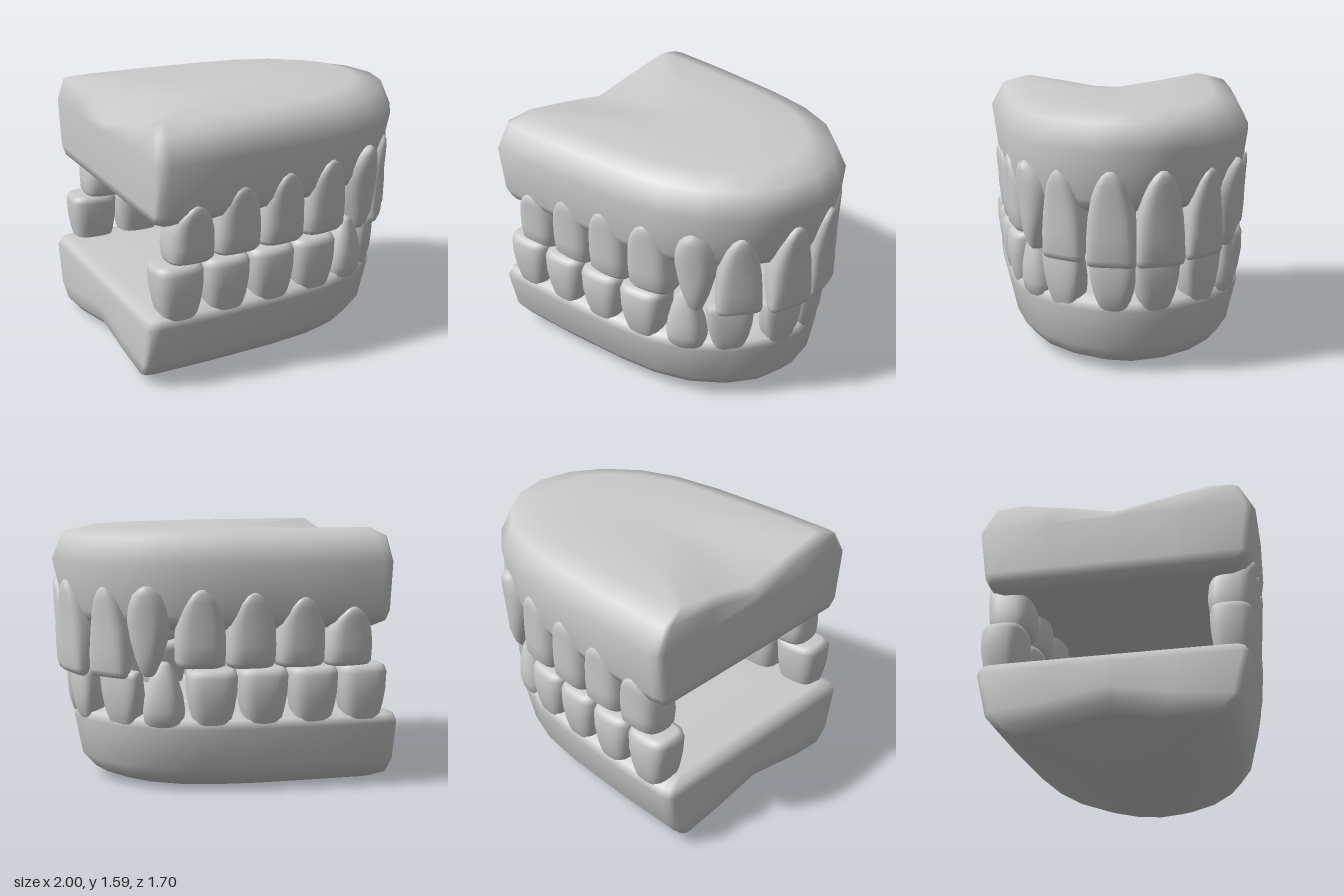
import * as THREE from 'three';

const material = new THREE.MeshStandardMaterial({ color: 0xcccccc });

// Closed skin over rings listed bottom to top, each counter-clockwise from above
function loft(rings, name) {
  const n = rings[0].length, pos = [], index = [];
  const last = (rings.length - 1) * n;
  rings.forEach(r => r.forEach(p => pos.push(...p)));
  for (let k = 0; k < rings.length - 1; k++) {
    for (let i = 0; i < n; i++) {
      const a = k * n + i, b = k * n + (i + 1) % n;
      index.push(a, b, b + n, a, b + n, a + n);
    }
  }
  // Caps fan around the middle of the end rings
  const middle = r => [0, 1, 2].map(j => r.reduce((s, p) => s + p[j], 0) / n);
  const bottom = rings.length * n, top = bottom + 1;
  pos.push(...middle(rings[0]), ...middle(rings[rings.length - 1]));
  for (let i = 0; i < n; i++) {
    const j = (i + 1) % n;
    index.push(j, i, bottom, last + i, last + j, top);
  }
  const geo = new THREE.BufferGeometry();
  geo.setAttribute('position', new THREE.Float32BufferAttribute(pos, 3));
  geo.setIndex(index);
  geo.computeVertexNormals();
  const mesh = new THREE.Mesh(geo, material);
  mesh.name = name;
  return mesh;
}

// Half of the arch outline: [length from back to front, half width], both 0..1
const ARCH = [[0.975, 0.28], [0.907, 0.53], [0.8, 0.74], [0.67, 0.865], [0.51, 0.93],
  [0.25, 0.98], [0.04, 1], [0.012, 0.985], [0, 0.94], [0, 0.5]];
const OUTLINE = [[1, 0], ...ARCH.map(([u, w]) => [u, -w]), [0, 0], ...[...ARCH].reverse()];

// Gum block from levels [y, half width, back x, front x]; dip(y) hollows the middle towards the back
function gum(levels, dip, name) {
  return loft(levels.map(([y, w, back, front]) => OUTLINE.map(([u, v]) => {
    const x = back + u * (front - back), z = v * w;
    const d = Math.max(0, 1 - Math.abs(z) / 0.55) * THREE.MathUtils.clamp((-0.3 - x) / 0.55, 0, 1);
    return [x, y + dip(y) * d, z];
  })), name);
}

// Tooth profiles from bite edge to root: [t, width factor, outer face, inner face]
const PROFILES = {
  upperMolar: [[0, 0.74, -0.06, -0.21], [0.02, 0.89, -0.03, -0.24], [0.09, 0.98, 0, -0.26],
    [0.3, 1, 0.01, -0.27], [0.55, 0.96, 0.015, -0.26], [0.72, 0.84, 0.02, -0.23],
    [0.85, 0.64, 0.025, -0.2], [0.95, 0.38, 0.025, -0.17], [1, 0.14, 0.01, -0.13]],
  upperCanine: [[0, 0.2, -0.06, -0.12], [0.04, 0.36, -0.04, -0.14], [0.2, 0.62, -0.01, -0.18],
    [0.4, 0.86, 0, -0.2], [0.6, 1, 0.01, -0.21], [0.76, 0.94, 0.02, -0.2],
    [0.9, 0.7, 0.025, -0.18], [0.97, 0.4, 0.02, -0.16], [1, 0.14, 0, -0.12]],
  upperIncisor: [[0, 0.84, -0.04, -0.08], [0.02, 0.95, -0.015, -0.1], [0.08, 1, 0, -0.12],
    [0.3, 0.99, 0.01, -0.16], [0.52, 0.93, 0.012, -0.18], [0.72, 0.78, 0.02, -0.18],
    [0.86, 0.59, 0.025, -0.17], [0.95, 0.37, 0.025, -0.15], [1, 0.14, 0.01, -0.12]],
  lowerMolar: [[0, 0.78, -0.05, -0.23], [0.03, 0.93, -0.02, -0.26], [0.12, 1, 0, -0.27],
    [0.4, 0.96, 0, -0.265], [0.65, 0.86, -0.015, -0.25], [0.86, 0.72, -0.035, -0.23],
    [1, 0.58, -0.065, -0.2]],
  lowerCanine: [[0, 0.2, -0.06, -0.11], [0.05, 0.4, -0.04, -0.13], [0.25, 0.68, -0.015, -0.17],
    [0.5, 0.9, 0, -0.2], [0.72, 1, 0, -0.21], [0.88, 0.94, -0.015, -0.2], [1, 0.7, -0.055, -0.17]],
  lowerIncisor: [[0, 0.87, -0.03, -0.09], [0.03, 0.96, -0.01, -0.11], [0.12, 1, 0, -0.13],
    [0.4, 0.96, -0.005, -0.16], [0.65, 0.84, -0.013, -0.18], [0.88, 0.65, -0.035, -0.18],
    [1, 0.45, -0.06, -0.16]],
};

// Rounded-square sections stacked along the profile
function tooth(type, halfWidth, bite, root) {
  const sides = 24, power = type.includes('Canine') ? 0.85 : 0.65;
  const bend = v => Math.sign(v) * Math.pow(Math.abs(v), power);
  const rings = PROFILES[type].map(([t, w, out, inner]) => Array.from({ length: sides }, (_, i) => {
    const a = i / sides * Math.PI * 2;
    return [bend(Math.cos(a)) * w * halfWidth, bite + t * (root - bite),
      (out + inner) / 2 - bend(Math.sin(a)) * (out - inner) / 2];
  }));
  return loft(root < bite ? rings.reverse() : rings, type);
}

// One side of each row: [type, x and z of outer face, facing angle, half width, bite y, root y]
const TEETH = [
  ['upperMolar', -0.69, 0.8, 0.04, 0.147, 0.755, 1.125],
  ['upperMolar', -0.385, 0.788, 0.05, 0.152, 0.76, 1.195],
  ['upperMolar', -0.075, 0.768, 0.1, 0.152, 0.76, 1.225],
  ['upperMolar', 0.24, 0.73, 0.2, 0.155, 0.765, 1.245],
  ['upperCanine', 0.56, 0.652, 0.45, 0.13, 0.72, 1.265],
  ['upperIncisor', 0.772, 0.45, 0.92, 0.142, 0.7, 1.25],
  ['upperIncisor', 0.945, 0.155, 1.34, 0.152, 0.69, 1.27],
  ['lowerMolar', -0.775, 0.822, 0.04, 0.155, 0.765, 0.38],
  ['lowerMolar', -0.465, 0.806, 0.05, 0.155, 0.76, 0.38],
  ['lowerMolar', -0.15, 0.783, 0.08, 0.155, 0.76, 0.38],
  ['lowerMolar', 0.165, 0.743, 0.15, 0.157, 0.755, 0.38],
  ['lowerCanine', 0.465, 0.645, 0.4, 0.128, 0.8, 0.385],
  ['lowerIncisor', 0.705, 0.455, 0.87, 0.145, 0.74, 0.37],
  ['lowerIncisor', 0.89, 0.145, 1.34, 0.14, 0.73, 0.39],
];

export function createModel() {
  const model = new THREE.Group();
  model.name = 'dentalModel';

  model.add(gum([[0.99, 0.35, -0.45, 0.4], [0.99, 0.7, -0.87, 0.82], [1.03, 0.78, -0.925, 0.9],
    [1.09, 0.81, -0.94, 0.93], [1.39, 0.85, -0.94, 1], [1.54, 0.77, -0.925, 0.94],
    [1.585, 0.62, -0.87, 0.76], [1.585, 0.31, -0.45, 0.35]],
  y => (y > 1.5 ? -0.11 : 0), 'upperGum'));

  model.add(gum([[0, 0.27, -0.5, 0.2], [0, 0.53, -0.94, 0.59], [0.06, 0.67, -0.99, 0.74],
    [0.15, 0.745, -1, 0.82], [0.4, 0.805, -1, 0.87], [0.45, 0.78, -0.985, 0.85],
    [0.48, 0.68, -0.93, 0.76], [0.48, 0.34, -0.5, 0.35]],
  y => (y < 0.2 ? 0.1 : 0), 'lowerGum'));

  // Teeth, mirrored across the arch
  for (const [type, x, z, angle, halfWidth, bite, root] of TEETH) {
    for (const side of [1, -1]) {
      const mesh = tooth(type, halfWidth, bite, root);
      mesh.position.set(x, 0, z * side);
      mesh.rotation.y = side > 0 ? angle : Math.PI - angle;
      model.add(mesh);
    }
  }
  return model;
}
